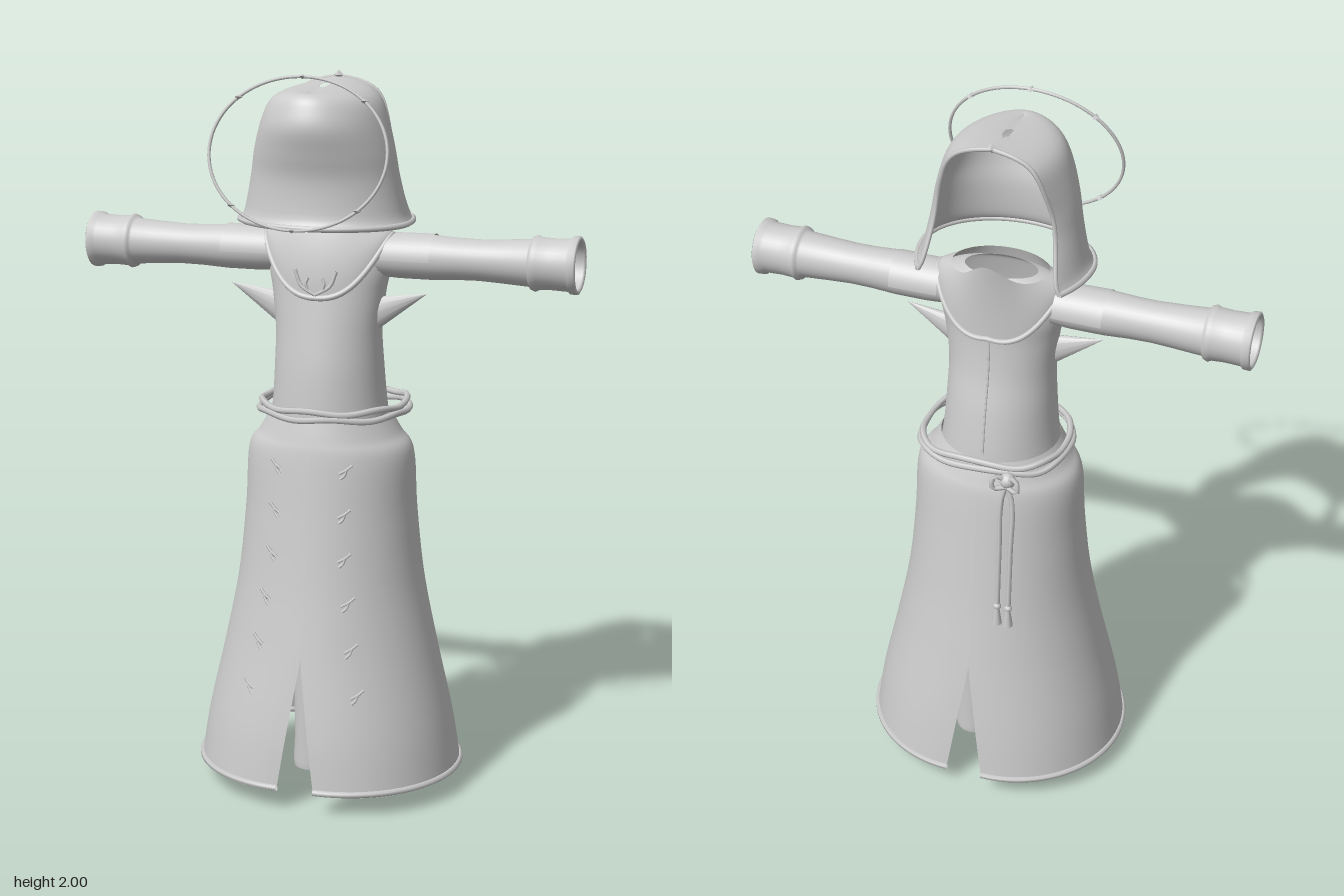
import * as THREE from 'three';
import { mergeVertices } from 'three/addons/utils/BufferGeometryUtils.js';

const cloth = new THREE.MeshStandardMaterial({ color: 0xcccccc, side: THREE.DoubleSide });
cloth.name = 'pale grey cloth';
const V = (x, y, z) => new THREE.Vector3(x, y, z);

// Rows are [height, half width, front z, back z], bottom to top
const skirtRows = [[.055, .37, .302, -.328], [.2, .347, .288, -.312], [.4, .302, .255, -.283], [.6, .262, .22, -.25],
  [.8, .241, .192, -.222], [.96, .232, .173, -.2], [1.015, .197, .163, -.185], [1.07, .165, .15, -.165]];
const torsoRows = [[1.03, .168, .15, -.16], [1.1, .158, .147, -.152], [1.2, .151, .139, -.135], [1.3, .148, .125, -.112],
  [1.4, .158, .11, -.1], [1.47, .17, .1, -.1], [1.55, .168, .08, -.09], [1.575, .15, .07, -.08], [1.59, .1, .05, -.06]];
const hoodRows = [[1.6, .235, .217, -.105], [1.63, .22, .203, -.1], [1.72, .202, .2, -.063], [1.79, .19, .217, -.055],
  [1.86, .17, .233, -.07], [1.915, .147, .22, -.08], [1.945, .115, .205, -.08], [1.963, .065, .185, -.08], [1.973, 0, .165, -.078]];

// Smooth interpolation through the rows, t in 0..1
function at(rows, t) {
  const n = rows.length - 1, f = Math.min(t * n, n - 1e-6), i = Math.floor(f), s = f - i;
  const row = k => rows[Math.max(0, Math.min(n, k))];
  return rows[0].map((_, c) => {
    const [a, b, d, e] = [row(i - 1)[c], row(i)[c], row(i + 1)[c], row(i + 2)[c]];
    return b + .5 * s * (d - a + s * (2 * a - 5 * b + 4 * d - e + s * (3 * (b - d) + e - a)));
  });
}

// Surface from a rule p(u, v); quads whose centre satisfies skip are left open
function surface(p, nu, nv, skip = () => false) {
  const pos = [], idx = [], pts = [];
  for (let j = 0; j <= nv; j++) for (let i = 0; i <= nu; i++) {
    const q = p(i / nu, j / nv);
    pts.push(q);
    pos.push(q.x, q.y, q.z);
  }
  for (let j = 0; j < nv; j++) for (let i = 0; i < nu; i++) {
    const a = j * (nu + 1) + i, b = a + 1, c = b + nu + 1, d = c - 1;
    if (!skip(pts[a].clone().add(pts[c]).multiplyScalar(.5))) idx.push(a, b, c, a, c, d);
  }
  const g = new THREE.BufferGeometry();
  g.setAttribute('position', new THREE.Float32BufferAttribute(pos, 3));
  g.setIndex(idx);
  const m = mergeVertices(g, 1e-5);
  m.computeVertexNormals();
  return m;
}

const ring = (a, [y, w, zf, zb]) =>
  V(w * Math.sin(a), y, (zf + zb) / 2 + (zf - zb) / 2 * Math.cos(a));

// Half of the skirt, with its edges parting below the slits
function skirtPoint(u, v) {
  const r = at(skirtRows, v), gap = .062 * Math.max(0, 1 - r[0] / .42);
  const q = ring(u * Math.PI, r);
  q.x = gap + q.x * (1 - gap / r[1]);
  return q;
}

function skirtFront(x, y) {
  let lo = 0, hi = 1;
  for (let k = 0; k < 20; k++) {
    const m = (lo + hi) / 2;
    if (at(skirtRows, m)[0] < y) lo = m; else hi = m;
  }
  const [, w, zf, zb] = at(skirtRows, lo);
  return V(x, y, (zf + zb) / 2 + (zf - zb) / 2 * Math.sqrt(1 - (x / w) ** 2) + .003);
}

// Hood shell open at the back, with a small round hole in the crown
function hoodPoint(u, v) {
  const [y, w, zf, zb] = at(hoodRows, v), open = .6, z0 = .04;
  const a = (u * 2 - 1) * (Math.PI / 2 + open), c = Math.cos(a);
  const z = c > 0 ? z0 + (zf - z0) * c : z0 + (z0 - zb) * c / Math.sin(open);
  const hole = v > .999 ? .02 * Math.sqrt(Math.max(0, 1 - ((z - .04) / .025) ** 2)) : 0;
  const x = v > .999 ? Math.sign(Math.sin(a)) * hole : w * Math.sin(a);
  return V(x, y - .12 * Math.max(0, z + .08) * v ** 6, z);
}

// Draped collar, pointed at front and back, peaked at the nape
function collarPoint(u, v) {
  const a = u * Math.PI * 2, s = Math.abs(Math.sin(a));
  const low = 1.4 + .165 * s ** 2.5 + (Math.cos(a) < 0 ? .03 * (1 - s) : 0);
  const nape = Math.max(0, -Math.cos(a)) ** 10;
  const top = 1.595 + .06 * nape;
  return ring(a, [low + (top - low) * v, .178 - .045 * v * v, .118 - .035 * v * v, -.114 + .012 * v * v * (1 - 2 * nape)]);
}

export function createModel() {
  const model = new THREE.Group();
  const add = (name, geo, parent = model) => {
    const m = new THREE.Mesh(geo, cloth);
    m.name = name;
    parent.add(m);
    return m;
  };
  const tube = (name, pts, r, closed = false, parent = model) =>
    add(name, new THREE.TubeGeometry(new THREE.CatmullRomCurve3(pts, closed), Math.max(8, pts.length * 2), r, 6, closed), parent);
  const line = (n, f) => Array.from({ length: n + 1 }, (_, i) => f(i / n));

  // Torso with open armholes
  add('torso', surface((u, v) => ring(u * Math.PI * 2, at(torsoRows, v)), 64, 40,
    q => Math.abs(q.x) > .08 && Math.hypot(q.y - 1.507, q.z) < .055));
  tube('backSeam', line(10, t => ring(Math.PI, at(torsoRows, .1 + t * .75))), .003);

  // Collar and its trim
  add('collar', surface(collarPoint, 64, 8));
  tube('collarTrim', line(47, t => collarPoint(t * 47 / 48, 0)), .008, true);

  // Hood with bound edges
  add('hood', surface(hoodPoint, 72, 36));
  tube('hoodHem', line(36, t => hoodPoint(t, .01)), .008);
  for (const u of [0, 1]) tube('hoodOpeningEdge', line(20, t => hoodPoint(u, t * .995)), .006);
  const finial = add('hoodFinial', new THREE.OctahedronGeometry(.014));
  finial.position.set(0, 1.975, -.075);

  // Tilted ring with small beads
  const halo = new THREE.Group();
  halo.name = 'halo';
  halo.position.set(0, 1.803, .262);
  halo.rotation.x = -.227;
  model.add(halo);
  const haloPoint = a => V(.243 * Math.cos(a), .198 * Math.sin(a), 0);
  tube('haloRing', line(47, t => haloPoint(t * 47 / 48 * Math.PI * 2)), .0045, true, halo);
  for (const k of [1, 2, 3, 5, 6, 7]) {
    const bead = add('haloBead', new THREE.OctahedronGeometry(.011), halo);
    bead.position.copy(haloPoint(k * Math.PI / 4));
    bead.scale.set(1, .6, 1.3);
  }

  // Sleeve profile as radius against distance from the middle
  const sleeve = [[.055, .12], [.06, .2], [.06, .29], [.056, .36], [.055, .42], [.058, .48], [.063, .56], [.071, .565],
    [.075, .575], [.07, .585], [.068, .62], [.07, .665], [.076, .67], [.077, .688], [.07, .692], [.064, .685], [.058, .56]];
  const sleeveGeo = new THREE.LatheGeometry(sleeve.map(p => new THREE.Vector2(...p)), 32);
  const padGeo = new THREE.CylinderGeometry(.066, .068, .135, 20, 1, true, 0, Math.PI);
  const claspSpots = [[.095, .94], [.095, .82], [.1, .7], [.115, .58], [.13, .455], [.152, .33], [.18, .21]];

  for (const s of [1, -1]) {
    const half = new THREE.Group();
    half.name = s > 0 ? 'leftSide' : 'rightSide';
    half.scale.x = s;
    model.add(half);

    // Sleeve, shoulder pad and side spike
    const arm = add('sleeve', sleeveGeo, half);
    arm.rotation.z = -Math.PI / 2;
    arm.position.set(0, 1.507, 0);
    const pad = add('shoulderPad', padGeo, half);
    pad.rotation.set(0, 0, Math.PI / 2);
    pad.position.set(.228, 1.502, -.004);
    const spike = add('sideSpike', new THREE.ConeGeometry(.045, .16, 12), half);
    spike.rotation.z = -Math.PI / 2 + .38;
    spike.position.set(.205, 1.38, .015);
    spike.scale.z = .5;

    // Skirt half and its hem
    add('skirt', surface(skirtPoint, 40, 36), half);
    tube('skirtHem', line(30, t => skirtPoint(t, .015)), .009, false, half);

    // Trouser leg
    const leg = [[.056, 0], [.058, .02], [.054, .1], [.06, .5], [.08, .95]];
    const legMesh = add('trouserLeg', new THREE.LatheGeometry(leg.map(p => new THREE.Vector2(...p)), 20), half);
    legMesh.position.set(.066, 0, -.05);
    const sole = add('legEnd', new THREE.CircleGeometry(.056, 20), half);
    sole.rotation.x = Math.PI / 2;
    sole.position.set(.066, .012, -.05);

    // Forked clasps down the front
    for (const [x, y] of claspSpots) {
      const p = (dx, dy) => skirtFront(x + dx, y + dy);
      tube('claspStem', [p(.02, .016), p(.006, .004), p(-.012, -.006)], .004, false, half);
      tube('claspFork', [p(.006, .004), p(.002, -.01), p(-.008, -.02)], .004, false, half);
    }

    // Curled ornament on the collar point
    tube('collarOrnament', [V(.058, 1.475, .118), V(.042, 1.435, .122), V(.02, 1.42, .124), V(0, 1.41, .124)], .005, false, half);
    tube('collarOrnamentTip', [V(.02, 1.42, .124), V(.026, 1.44, .124), V(.02, 1.455, .122)], .004, false, half);
  }

  // Two strand rope belt, squarer at the back
  for (const k of [0, 1]) {
    tube('beltStrand', line(47, t => {
      const a = t * 47 / 48 * Math.PI * 2, c = Math.cos(a), n = Math.sin(a);
      const e = c < 0 ? .7 : 1;
      return V(Math.sign(n) * Math.abs(n) ** e * (.205 - k * .008), 1.072 + k * .02 + .004 * Math.sin(a * 6 + k * 2),
        -.025 + Math.sign(c) * Math.abs(c) ** e * .18);
    }), .009, true);
  }

  // Knot and hanging cords at the back
  const knot = add('beltKnot', new THREE.SphereGeometry(.022, 14, 10));
  knot.position.set(-.095, 1.065, -.22);
  for (const s of [1, -1]) {
    const x = -.098 + s * .016;
    tube('knotLoop', [V(-.095, 1.07, -.225), V(-.095 + s * .03, 1.085, -.24), V(-.095 + s * .035, 1.05, -.245), V(-.095, 1.05, -.23)], .007);
    tube('beltCord', [V(-.095, 1.06, -.228), V(x, 1.0, -.236), V(x, .85, -.25), V(x, .66, -.266)], .007);
    const tassel = add('cordTassel', new THREE.CylinderGeometry(.007, .014, .055, 10));
    tassel.position.set(x, .632, -.269);
    const bead = add('cordBead', new THREE.SphereGeometry(.011, 10, 8));
    bead.position.set(x, .662, -.266);
  }
  return model;
}
